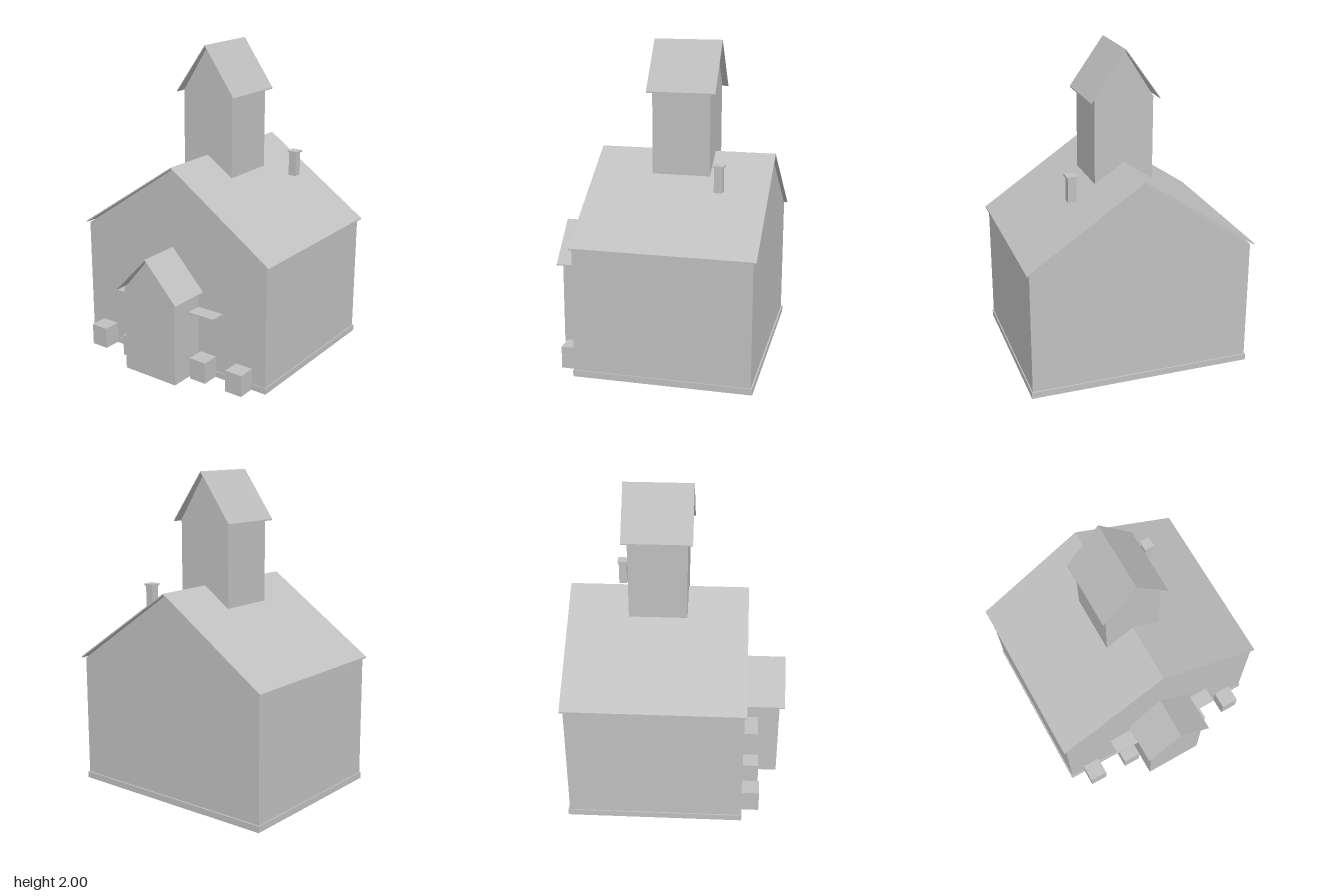
import * as THREE from 'three';

export function createModel() {
  const model = new THREE.Group();
  const grey = new THREE.MeshStandardMaterial({ color: 0xc0c0c0 });
  grey.name = 'plain grey';

  const add = (name, geometry) => {
    const mesh = new THREE.Mesh(geometry, grey);
    mesh.name = name;
    model.add(mesh);
  };
  const box = (name, x0, x1, y0, y1, z0, z1) => {
    const g = new THREE.BoxGeometry(x1 - x0, y1 - y0, z1 - z0);
    g.translate((x0 + x1) / 2, (y0 + y1) / 2, (z0 + z1) / 2);
    add(name, g);
  };
  // Front outline pushed along z
  const prism = (name, points, z0, z1) => {
    const shape = new THREE.Shape(points.map(([x, y]) => new THREE.Vector2(x, y)));
    const g = new THREE.ExtrudeGeometry(shape, { depth: z1 - z0, bevelEnabled: false });
    g.translate(0, 0, z0);
    add(name, g);
  };
  // Gabled block
  const house = (name, w, y0, eave, ridge, z0, z1) =>
    prism(name, [[-w, y0], [w, y0], [w, eave], [0, ridge], [-w, eave]], z0, z1);
  // Thin overhanging two-slope roof
  const roof = (name, w, eave, ridge, t, z0, z1) =>
    prism(name, [[-w, eave], [0, ridge - t], [w, eave], [w, eave + t], [0, ridge], [-w, eave + t]], z0, z1);

  // Main hall
  box('foundation', -0.705, 0.705, 0, 0.04, -0.68, 0.425);
  house('hall', 0.698, 0, 0.81, 1.29, -0.67, 0.42);
  roof('hallRoof', 0.716, 0.811, 1.305, 0.01, -0.69, 0.433);

  // Bell tower
  house('tower', 0.185, 1.18, 1.7, 1.99, -0.31, 0.055);
  roof('towerRoof', 0.217, 1.689, 2, 0.008, -0.345, 0.087);

  // Entrance porch
  house('porch', 0.197, 0, 0.547, 0.782, 0.4, 0.66);
  roof('porchRoof', 0.232, 0.54, 0.793, 0.008, 0.41, 0.692);

  // Chimney
  box('chimney', 0.336, 0.388, 1.128, 1.28, -0.427, -0.375);
  box('chimneyCap', 0.328, 0.396, 1.28, 1.292, -0.435, -0.367);

  // Awnings and planter blocks on both sides of the porch
  for (const s of [-1, 1]) {
    const sided = (name, a, b, ...rest) =>
      box(name, Math.min(s * a, s * b), Math.max(s * a, s * b), ...rest);
    sided('awning', 0.19, 0.38, 0.43, 0.441, 0.415, 0.52);
    sided('innerBlock', 0.214, 0.332, 0, 0.14, 0.415, 0.535);
    sided('outerBlock', 0.484, 0.602, 0, 0.14, 0.415, 0.535);
  }
  return model;
}
